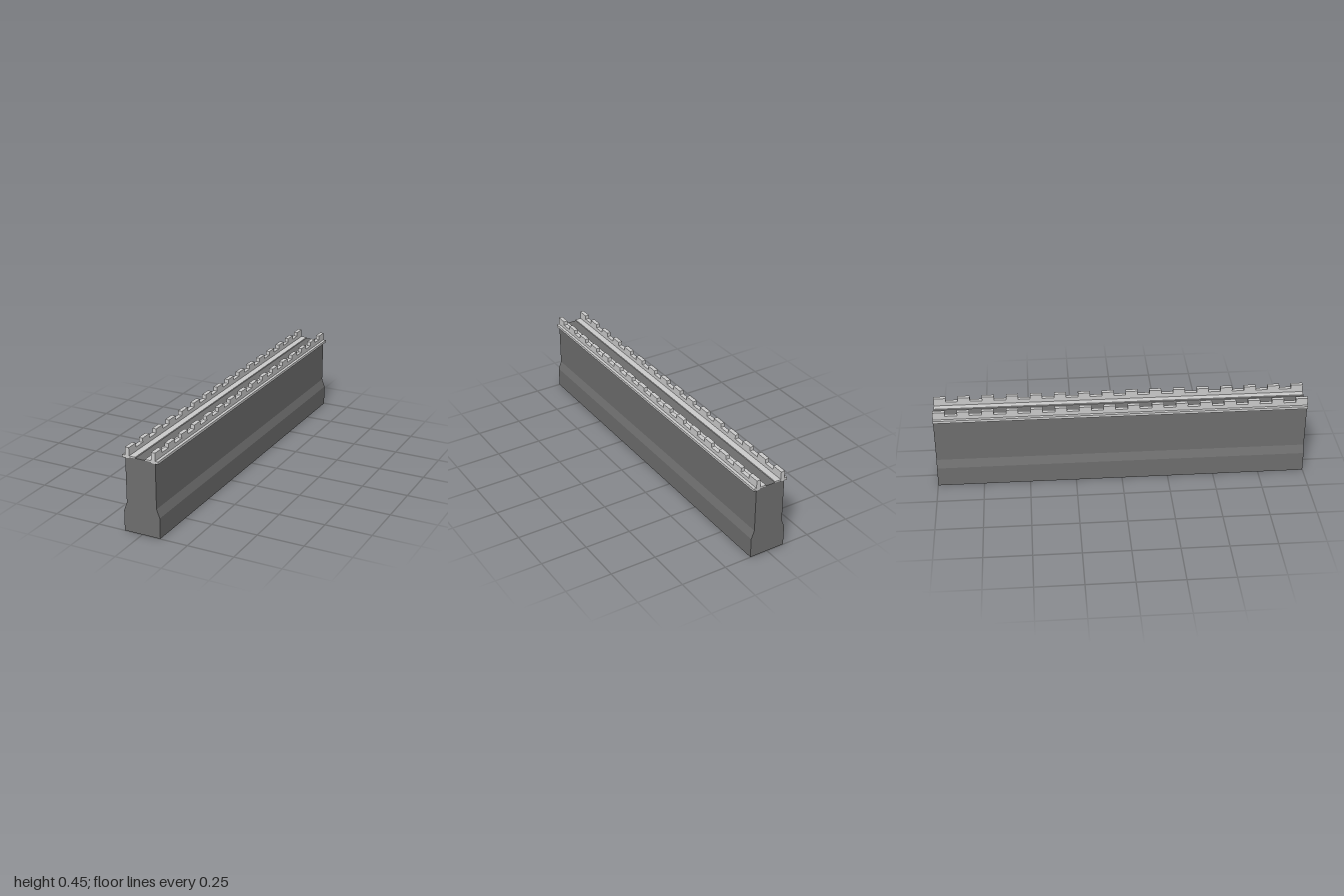
import * as THREE from 'three';

const LENGTH = 2;
const MERLONS = 16;

// Extrude an x/y outline along z, centred on z = 0
function extrudeAlongZ(points, length, material, name) {
  const shape = new THREE.Shape(points.map(([x, y]) => new THREE.Vector2(x, y)));
  const geometry = new THREE.ExtrudeGeometry(shape, { depth: length, bevelEnabled: false });
  geometry.translate(0, 0, -length / 2);
  const mesh = new THREE.Mesh(geometry, material);
  mesh.name = name;
  return mesh;
}

// Box given by its x and y limits
function bar(x0, x1, y0, y1, material, name) {
  const mesh = new THREE.Mesh(new THREE.BoxGeometry(x1 - x0, y1 - y0, LENGTH), material);
  mesh.position.set((x0 + x1) / 2, (y0 + y1) / 2, 0);
  mesh.name = name;
  return mesh;
}

// Crenellated parapet: outline in z/y, turned so its thickness runs along x
function parapet(x0, x1, material, name) {
  const base = 0.395, sill = 0.428, top = 0.45;
  const step = LENGTH / (2 * MERLONS - 1);
  const shape = new THREE.Shape();
  shape.moveTo(-LENGTH / 2, base);
  for (let i = 0; i < MERLONS; i++) {
    const z = -LENGTH / 2 + 2 * i * step;
    if (i > 0) shape.lineTo(z, sill);
    shape.lineTo(z, top);
    shape.lineTo(z + step, top);
    if (i < MERLONS - 1) shape.lineTo(z + step, sill);
  }
  shape.lineTo(LENGTH / 2, base);
  const geometry = new THREE.ExtrudeGeometry(shape, { depth: x1 - x0, bevelEnabled: false });
  geometry.rotateY(Math.PI / 2);
  geometry.translate(x0, 0, 0);
  const mesh = new THREE.Mesh(geometry, material);
  mesh.name = name;
  return mesh;
}

export function createModel() {
  const group = new THREE.Group();
  group.name = 'battlementWall';
  const stone = new THREE.MeshStandardMaterial({ color: 0x6e6e6e, flatShading: true });
  const trim = new THREE.MeshStandardMaterial({ color: 0xcccccc, flatShading: true });

  // Wall body with a flared foot
  const half = [[0.1, 0], [0.1, 0.11], [0.083, 0.155], [0.083, 0.401]];
  const outline = [...half, ...half.map(([x, y]) => [-x, y]).reverse()];
  group.add(extrudeAlongZ(outline, LENGTH - 0.002, stone, 'wallBody'));

  // Parapet, ledge and walkway edging on both sides
  for (const side of [-1, 1]) {
    const label = side > 0 ? 'left' : 'right';
    const span = (a, b) => (side > 0 ? [a, b] : [-b, -a]);
    group.add(parapet(...span(0.061, 0.083), trim, label + 'Parapet'));
    group.add(bar(...span(0.068, 0.099), 0.394, 0.408, trim, label + 'Ledge'));
    group.add(bar(...span(0.027, 0.07), 0.4, 0.407, trim, label + 'Walkway'));
  }
  return group;
}
